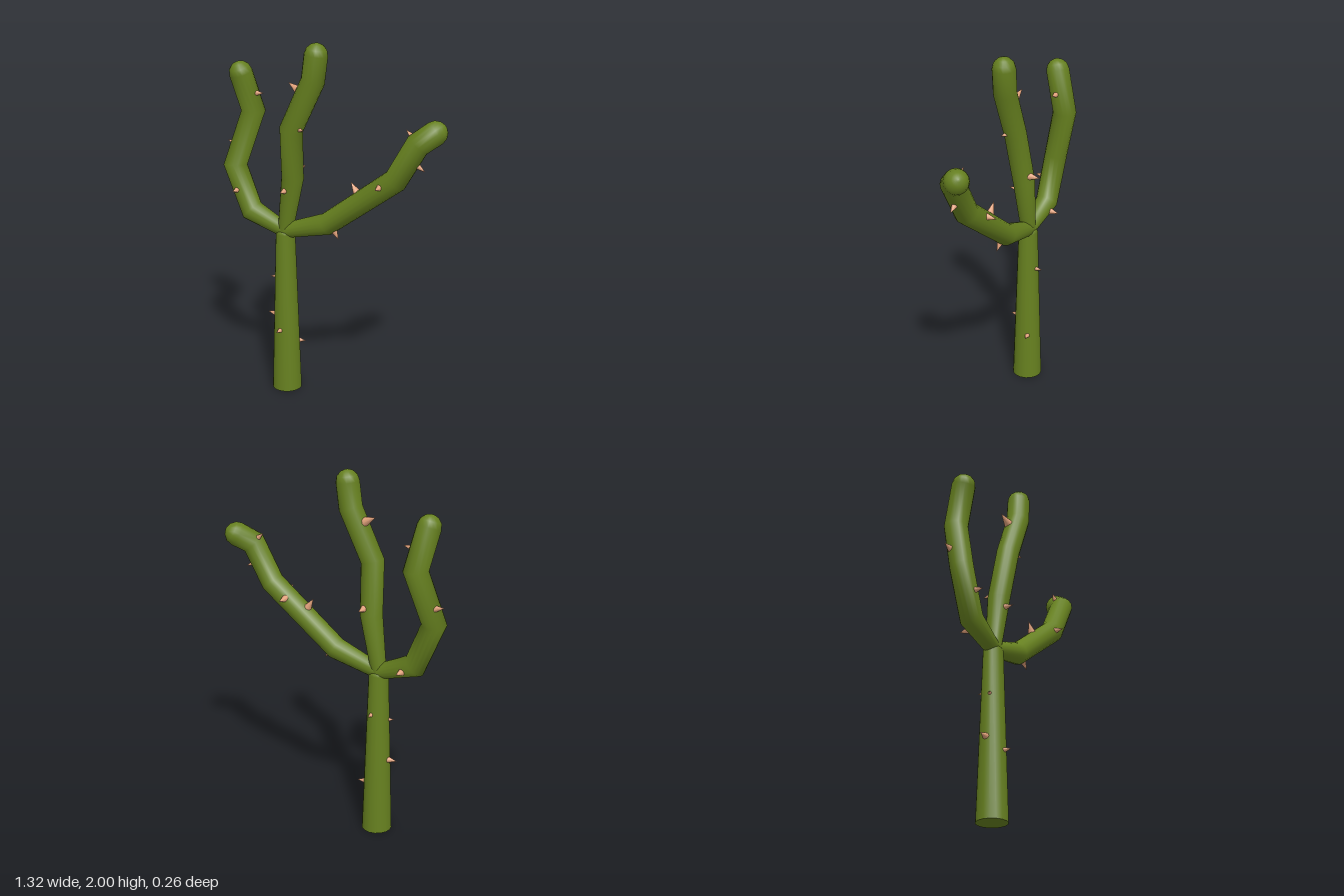
import * as THREE from 'three';

const SIDES = 16;
const green = new THREE.MeshStandardMaterial({ color: 0x66801f });
const tan = new THREE.MeshStandardMaterial({ color: 0xe0a07a });
const vec = (a) => new THREE.Vector3(a[0], a[1], a[2]);

// Mitred tube through points [x, y, z, radius], closed by a dome at its end.
function stem(name, points, domeHeight = 1) {
  const p = points.map(vec);
  const last = p.length - 1;
  const dirs = p.slice(1).map((q, i) => q.clone().sub(p[i]).normalize());
  const pos = [], index = [];
  const u = new THREE.Vector3(0, 0, 1).cross(dirs[0]).normalize();
  const ring = (centre, r, d, n) => {
    const v = d.clone().cross(u);
    for (let j = 0; j < SIDES; j++) {
      const a = (j / SIDES) * Math.PI * 2;
      const off = u.clone().multiplyScalar(r * Math.cos(a)).addScaledVector(v, r * Math.sin(a));
      off.addScaledVector(d, -off.dot(n) / d.dot(n)); // slide onto the mitre plane
      pos.push(...off.add(centre).toArray());
    }
  };
  p.forEach((c, i) => {
    const d = dirs[Math.max(i - 1, 0)];
    const next = dirs[Math.min(i, last - 1)];
    ring(c, points[i][3], d, d.clone().add(next).normalize());
    u.applyQuaternion(new THREE.Quaternion().setFromUnitVectors(d, next));
  });
  const d = dirs[last - 1], r = points[last][3];
  for (const deg of [30, 58, 80, 90]) {
    const a = THREE.MathUtils.degToRad(deg);
    const c = p[last].clone().addScaledVector(d, r * domeHeight * Math.sin(a));
    ring(c, r * Math.cos(a), d, d);
  }
  for (let i = 0; i < pos.length / 3 / SIDES - 1; i++) {
    for (let j = 0; j < SIDES; j++) {
      const a = i * SIDES + j, b = i * SIDES + ((j + 1) % SIDES);
      index.push(a, b, a + SIDES, b, b + SIDES, a + SIDES);
    }
  }
  const geo = new THREE.BufferGeometry();
  geo.setAttribute('position', new THREE.Float32BufferAttribute(pos, 3));
  geo.setIndex(index);
  geo.computeVertexNormals();
  const mesh = new THREE.Mesh(geo, green);
  mesh.name = name;
  return mesh;
}

// Cone whose tip sits at the given point and which points along dir.
function spine(tip, dir, size) {
  const geo = new THREE.ConeGeometry(0.023 * size, 0.07 * size, 10);
  geo.translate(0, -0.035 * size, 0);
  const mesh = new THREE.Mesh(geo, tan);
  mesh.quaternion.setFromUnitVectors(new THREE.Vector3(0, 1, 0), vec(dir).normalize());
  mesh.position.copy(vec(tip));
  mesh.name = 'spine';
  return mesh;
}

export function createModel() {
  const group = new THREE.Group();
  group.name = 'cactus';
  const fork = [-0.26, 0.94, 0.02, 0.042];

  // Trunk and its flat underside
  group.add(stem('trunk', [[-0.26, 0, 0.02, 0.083], [-0.26, 0.925, 0.02, 0.054]], 0.5));
  const base = new THREE.Mesh(new THREE.CircleGeometry(0.083, SIDES).rotateX(Math.PI / 2), green);
  base.position.set(-0.26, 0, 0.02);
  base.name = 'trunkBase';
  group.add(base);

  // Three bent arms from one fork
  group.add(stem('leftArm', [
    fork, [0, 1.02, 0.016, 0.06], [0.405, 1.325, 0.016, 0.063],
    [0.525, 1.53, 0.016, 0.064], [0.592, 1.585, -0.045, 0.066],
  ]));
  group.add(stem('middleArm', [
    fork, [-0.21, 1.25, 0.022, 0.061], [-0.19, 1.53, 0.065, 0.062],
    [-0.062, 1.8, 0.055, 0.063], [-0.045, 1.938, 0.052, 0.063],
  ]));
  group.add(stem('rightArm', [
    fork, [-0.475, 1.02, 0.018, 0.061], [-0.58, 1.27, 0.018, 0.063],
    [-0.51, 1.567, -0.066, 0.064], [-0.545, 1.785, -0.002, 0.064],
  ]));

  // Spines: tip, direction, size
  const spines = new THREE.Group();
  spines.name = 'spines';
  [
    // trunk
    [[-0.38, 0.435, 0.02], [-1, 0.05, 0], 0.85],
    [[-0.26, 0.368, 0.13], [0, 0, 1], 0.75],
    [[-0.157, 0.285, -0.02], [1, 0, -0.2], 0.75],
    [[-0.345, 0.665, 0.05], [-1, 0, 0.5], 0.75],
    [[-0.25, 0.705, -0.075], [0, 0, -1], 0.8],
    // left arm
    [[0.078, 0.948, 0.03], [0.55, -0.83, 0.1], 1.05],
    [[0.14, 1.278, 0.01], [-0.55, 0.83, 0], 1.05],
    [[0.34, 1.29, 0.123], [0, 0, 1], 0.95],
    [[0.293, 1.265, -0.094], [0, 0, -1], 0.95],
    [[0.45, 1.598, 0], [-0.75, 0.65, 0], 1.05],
    [[0.568, 1.392, 0.01], [0.86, -0.5, 0], 0.95],
    // middle arm
    [[-0.23, 1.185, 0.123], [0, 0, 1], 0.95],
    [[-0.192, 1.295, -0.085], [0, 0, -1], 0.95],
    [[-0.093, 1.54, 0.1], [1, 0, 0.4], 0.9],
    [[-0.22, 1.775, 0.04], [-0.87, 0.45, -0.1], 1.15],
    // right arm
    [[-0.535, 1.145, 0.123], [0, 0, 1], 0.95],
    [[-0.418, 0.99, -0.088], [0.1, 0, -1], 0.95],
    [[-0.662, 1.388, -0.036], [-1, 0.25, -0.1], 1],
    [[-0.42, 1.678, -0.033], [1, 0.1, 0], 0.95],
  ].forEach(([tip, dir, size]) => spines.add(spine(tip, dir, size)));
  group.add(spines);

  return group;
}
